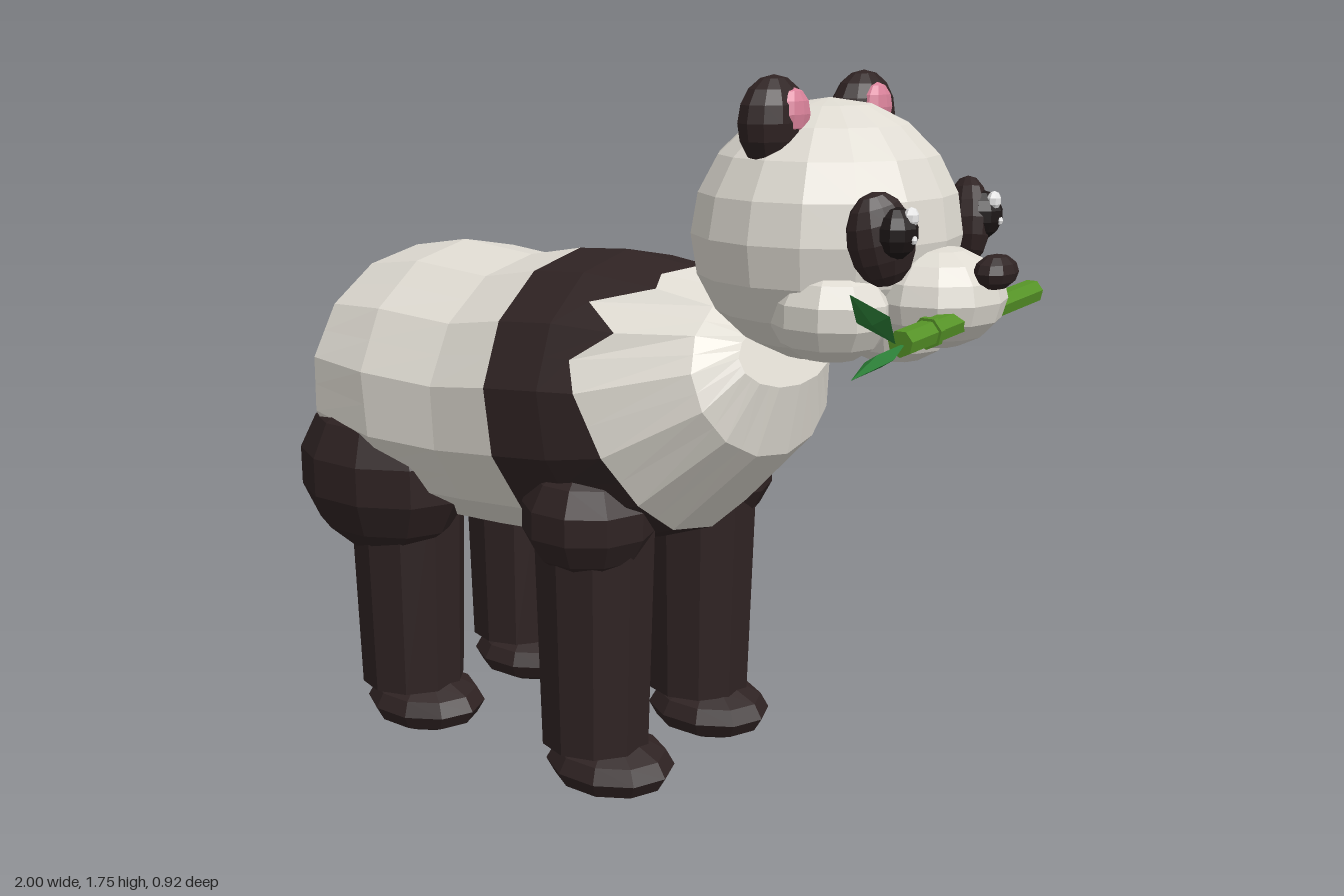
import * as THREE from 'three';

const mat = (name, color) => {
  const m = new THREE.MeshStandardMaterial({ color });
  m.name = name;
  return m;
};

export function createModel() {
  const root = new THREE.Group();
  root.name = 'panda';
  const white = mat('cream fur', 0xdedad1);
  const dark = mat('dark fur', 0x2f2323);
  const black = mat('eye black', 0x1d1717);
  const pink = mat('ear pink', 0xd9829a);
  const shine = mat('eye shine', 0xf2f2f2);
  const green = mat('bamboo green', 0x569427);
  const leafGreen = mat('leaf green', 0x2c8038);

  // Faceted mesh: split the vertices so every face keeps its own normal
  function add(name, geo, material, pos = [0, 0, 0], parent = root) {
    const g = geo.index ? geo.toNonIndexed() : geo;
    g.computeVertexNormals();
    const mesh = new THREE.Mesh(g, material);
    mesh.name = name;
    mesh.position.set(...pos);
    parent.add(mesh);
    return mesh;
  }
  const ball = (name, material, pos, r, ws = 10, hs = 7, parent = root) =>
    add(name, new THREE.SphereGeometry(1, ws, hs).scale(...r), material, pos, parent);

  // Body cross-sections: 14-sided ellipses with a midpoint on each side
  const SIDES = 14, N = SIDES * 2;
  function ring([tx, ty, bx, by, w]) {
    const corner = (i) => {
      const a = (i / SIDES) * Math.PI * 2, c = Math.cos(a) / 2;
      return new THREE.Vector3((tx + bx) / 2 + (tx - bx) * c, (ty + by) / 2 + (ty - by) * c, w * Math.sin(a));
    };
    return Array.from({ length: N }, (_, k) =>
      corner(Math.floor(k / 2)).lerp(corner(Math.ceil(k / 2)), 0.5));
  }
  function loft(rings) {
    const p = [];
    const tri = (...vs) => vs.forEach((v) => p.push(v.x, v.y, v.z));
    for (let i = 0; i < rings.length - 1; i++) {
      for (let k = 0; k < N; k++) {
        const n = (k + 1) % N, A = rings[i], B = rings[i + 1];
        tri(A[k], A[n], B[k]);
        tri(A[n], B[n], B[k]);
      }
    }
    const g = new THREE.BufferGeometry();
    g.setAttribute('position', new THREE.Float32BufferAttribute(p, 3));
    return g;
  }

  // Each row: top x, top y, bottom x, bottom y, half width
  const rump = [
    [-0.98, 0.98, -0.98, 0.98, 0],
    [-0.9, 1.1, -0.89, 0.8, 0.2],
    [-0.73, 1.27, -0.74, 0.63, 0.39],
    [-0.55, 1.3, -0.48, 0.57, 0.43],
    [-0.32, 1.28, -0.28, 0.575, 0.41],
    [-0.16, 1.31, -0.06, 0.59, 0.42],
  ].map(ring);
  const shoulder = ring([-0.01, 1.32, 0.1, 0.605, 0.41]);
  const chest = [
    [0.19, 1.295, 0.25, 0.66, 0.365],
    [0.32, 1.25, 0.46, 0.88, 0.28],
    [0.41, 1.19, 0.49, 1.05, 0.19],
    [0.45, 1.12, 0.45, 1.12, 0],
  ].map(ring);
  // Ragged fur line at the front of the dark band
  const jag = [0, 0.2, 0, 0.7, 0.15, 0.65, 0.5, 0.35, 0.2, 0.1];
  chest[0].forEach((v, k) => v.lerp(shoulder[k], jag[Math.min(k, N - k)] ?? 0));

  add('rump', loft(rump), white);
  add('shoulderBand', loft([rump[5], shoulder, chest[0]]), dark);
  add('chest', loft(chest), white);
  ball('tail', white, [-0.915, 1.075, 0], [0.085, 0.09, 0.085], 9, 6);

  // Head
  ball('head', white, [0.545, 1.41, 0], [0.295, 0.29, 0.32], 16, 10);
  ball('muzzle', white, [0.82, 1.29, 0], [0.15, 0.11, 0.16], 12, 8);
  ball('chin', white, [0.72, 1.21, 0], [0.13, 0.075, 0.12], 10, 6);
  ball('nose', dark, [0.955, 1.355, 0], [0.042, 0.038, 0.065], 10, 6);

  for (const s of [1, -1]) {
    const side = s > 0 ? 'left' : 'right';
    ball(side + 'Cheek', white, [0.665, 1.265, s * 0.175], [0.135, 0.11, 0.13], 10, 7);

    // Ears
    ball(side + 'Ear', dark, [0.52, 1.655, s * 0.19], [0.065, 0.098, 0.1], 12, 8);
    ball(side + 'InnerEar', pink, [0.562, 1.672, s * 0.178], [0.028, 0.055, 0.055], 10, 6);

    // Eye patch, eye and highlights
    const patch = ball(side + 'EyePatch', dark, [0.79, 1.43, s * 0.198], [0.05, 0.1, 0.075], 12, 8);
    patch.rotation.set(s * 0.25, -s * 0.6, 0, 'YXZ');
    ball(side + 'Eye', black, [0.82, 1.445, s * 0.198], [0.05, 0.055, 0.05], 10, 7);
    ball(side + 'EyeShine', shine, [0.853, 1.478, s * 0.192], [0.016, 0.022, 0.02], 8, 5);
    ball(side + 'EyeGlint', shine, [0.865, 1.435, s * 0.2], [0.009, 0.01, 0.01], 6, 4);

    // Legs: haunch or shoulder, shin and foot
    const legs = [
      ['Front', 0.06, 0.22, [0.07, 0.72, 0.255], [0.165, 0.15, 0.165]],
      ['Back', -0.575, 0.22, [-0.61, 0.72, 0.265], [0.255, 0.225, 0.19]],
    ];
    for (const [end, x, z, hip, r] of legs) {
      const leg = new THREE.Group();
      leg.name = side + end + 'Leg';
      root.add(leg);
      ball('upperLeg', dark, [hip[0], hip[1], s * hip[2]], r, 10, 7, leg);
      add('lowerLeg', new THREE.CylinderGeometry(0.153, 0.137, 0.6, 10), dark, [x, 0.43, s * z], leg);
      ball('foot', dark, [x + 0.04, 0.075, s * (z - 0.005)], [0.17, 0.075, 0.142], 10, 6, leg);
    }
  }

  // Bamboo held across the mouth
  const bamboo = new THREE.Group();
  bamboo.name = 'bamboo';
  bamboo.position.set(0.905, 1.257, 0.005);
  bamboo.rotation.x = 0.035;
  root.add(bamboo);
  const stalk = (name, r, length, z) =>
    add(name, new THREE.CylinderGeometry(r, r, length, 7).rotateX(Math.PI / 2), green, [0, 0, z], bamboo);
  stalk('stalk', 0.028, 0.62, 0);
  for (const z of [-0.07, 0.19]) stalk('stalkNode', 0.034, 0.016, z);
  [[-0.02, 0.06, -0.7, -0.12], [-0.005, -0.02, 0.22, -0.1]].forEach(([x, y, tilt, turn]) => {
    const leaf = add('leaf', new THREE.OctahedronGeometry(1).scale(0.036, 0.013, 0.095), leafGreen,
      [x, y, 0.385], bamboo);
    leaf.rotation.set(tilt, turn, 0.25);
  });

  return root;
}
